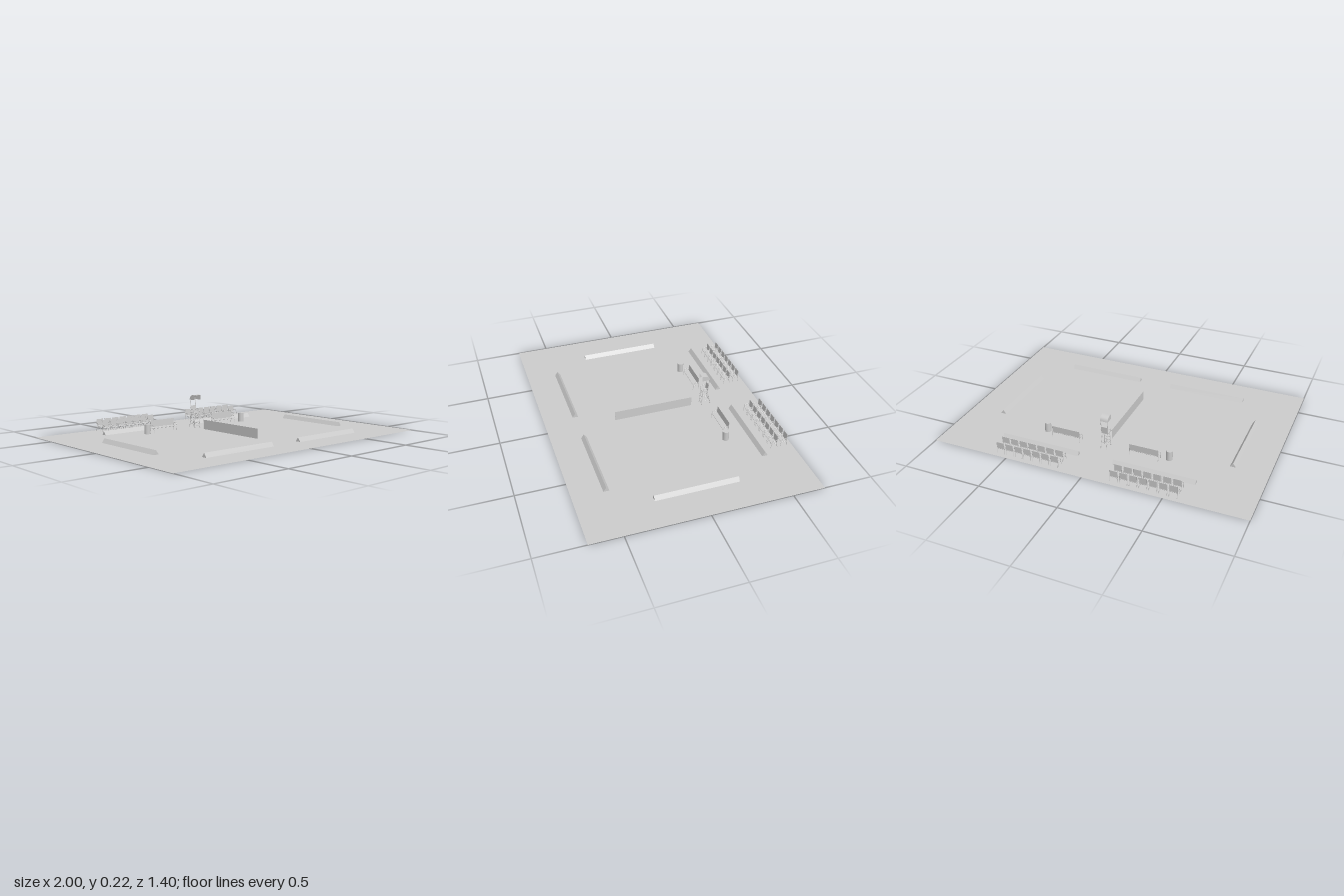
import * as THREE from 'three';

const mat = new THREE.MeshStandardMaterial({ color: 0xcccccc, flatShading: true });
const thin = new THREE.MeshStandardMaterial({ color: 0xcccccc, side: THREE.DoubleSide });
const UP = new THREE.Vector3(0, 1, 0);

function add(parent, name, geometry, x = 0, y = 0, z = 0, material = mat) {
  const mesh = new THREE.Mesh(geometry, material);
  mesh.name = name;
  mesh.position.set(x, y, z);
  parent.add(mesh);
  return mesh;
}

const box = (parent, name, w, h, d, x, y, z) =>
  add(parent, name, new THREE.BoxGeometry(w, h, d), x, y, z);

// Thin round bar between two points
function bar(parent, name, a, b, r = 0.0016) {
  const p = new THREE.Vector3(...a), q = new THREE.Vector3(...b);
  const mesh = add(parent, name, new THREE.CylinderGeometry(r, r, p.distanceTo(q), 6));
  mesh.position.copy(p).add(q).multiplyScalar(0.5);
  mesh.quaternion.setFromUnitVectors(UP, q.sub(p).normalize());
  return mesh;
}

// Armchair or bench: origin on the floor under its centre, facing +z
function makeSeat(name, width) {
  const g = new THREE.Group();
  g.name = name;
  const e = width / 2 - 0.002;
  box(g, 'seatPan', width - 0.006, 0.003, 0.036, 0, 0.031, 0.001);
  const back = box(g, 'backrest', width - 0.008, 0.043, 0.0025, 0, 0.056, -0.0185);
  back.rotation.x = -0.08;
  for (const s of [-1, 1]) {
    bar(g, 'frontLeg', [s * e, 0, 0.022], [s * e, 0.032, 0.018]);
    bar(g, 'rearLeg', [s * e, 0, -0.021], [s * e, 0.032, -0.015]);
    bar(g, 'backPost', [s * e, 0.031, -0.016], [s * e, 0.077, -0.02]);
    bar(g, 'armSupport', [s * e, 0.031, 0.019], [s * e, 0.048, 0.012]);
    bar(g, 'armrest', [s * e, 0.048, 0.013], [s * e, 0.049, -0.018], 0.002);
    bar(g, 'seatRail', [s * e, 0.031, 0.019], [s * e, 0.031, -0.017]);
  }
  bar(g, 'frontRail', [-e, 0.03, 0.018], [e, 0.03, 0.018]);
  bar(g, 'rearRail', [-e, 0.031, -0.016], [e, 0.031, -0.016]);
  return g;
}

// Long triangular floor barrier, running along z
function makeBarrier(length) {
  const shape = new THREE.Shape([
    new THREE.Vector2(-0.018, 0), new THREE.Vector2(0.018, 0), new THREE.Vector2(0, 0.026),
  ]);
  const geo = new THREE.ExtrudeGeometry(shape, { depth: length, bevelEnabled: false });
  geo.translate(0, 0, -length / 2);
  return geo;
}

// Tall referee chair with ladder and hood
function makeHighChair() {
  const g = new THREE.Group();
  g.name = 'highChair';
  box(g, 'seatPan', 0.044, 0.004, 0.038, 0, 0.103, -0.348);
  box(g, 'backrest', 0.042, 0.045, 0.0025, 0, 0.127, -0.369).rotation.x = -0.12;
  for (const s of [-1, 1]) {
    bar(g, 'frontLeg', [s * 0.022, 0, -0.325], [s * 0.017, 0.103, -0.334], 0.002);
    bar(g, 'rearLeg', [s * 0.018, 0, -0.388], [s * 0.017, 0.103, -0.363], 0.002);
    bar(g, 'hoodPost', [s * 0.021, 0.102, -0.365], [s * 0.021, 0.195, -0.375]);
    bar(g, 'armSupport', [s * 0.023, 0.103, -0.33], [s * 0.023, 0.126, -0.337]);
    bar(g, 'armrest', [s * 0.023, 0.126, -0.336], [s * 0.023, 0.127, -0.369], 0.002);
    for (const y of [0.03, 0.07]) {
      bar(g, 'sideBrace', [s * 0.019, y, -0.325 - y * 0.087], [s * 0.018, y, -0.388 + y * 0.243]);
    }
  }
  for (const y of [0.018, 0.04, 0.062, 0.084]) {
    const z = -0.325 - y * 0.087;
    box(g, 'ladderRung', 0.04, 0.003, 0.006, 0, y, z);
  }
  bar(g, 'rearBrace', [-0.018, 0.045, -0.377], [0.018, 0.045, -0.377]);

  // Hood open at the front and underneath
  const profile = [[-0.323, 0.222], [-0.342, 0.223], [-0.356, 0.22], [-0.367, 0.213], [-0.374, 0.203], [-0.376, 0.19]];
  const pos = [], index = [];
  profile.forEach(([z, y], i) => {
    pos.push(-0.025, y, z, 0.025, y, z);
    if (i) {
      const k = 2 * i - 2;
      index.push(k, k + 1, k + 2, k + 1, k + 3, k + 2);
    }
  });
  const sheet = new THREE.BufferGeometry();
  sheet.setAttribute('position', new THREE.Float32BufferAttribute(pos, 3));
  sheet.setIndex(index);
  sheet.computeVertexNormals();
  add(g, 'hoodTop', sheet, 0, 0, 0, thin);
  const side = new THREE.Shape([...profile, [-0.323, 0.19]].map(([z, y]) => new THREE.Vector2(-z, y)));
  for (const s of [-1, 1]) {
    add(g, 'hoodSide', new THREE.ShapeGeometry(side), s * 0.025, 0, 0, thin).rotation.y = Math.PI / 2;
  }
  return g;
}

export function createModel() {
  const model = new THREE.Group();
  model.name = 'tennisCourt';

  // Playing surface
  add(model, 'ground', new THREE.PlaneGeometry(2, 1.4), 0, 0, 0, thin).rotation.x = -Math.PI / 2;

  // Net across the middle
  add(model, 'net', new THREE.PlaneGeometry(0.52, 0.063), 0, 0.0315, 0, thin).rotation.y = Math.PI / 2;
  for (const s of [-1, 1]) bar(model, 'netPost', [0, 0, s * 0.26], [0, 0.063, s * 0.26], 0.001);

  for (const s of [-1, 1]) {
    // Barriers
    add(model, 'sideBarrier', makeBarrier(0.52), s * 0.778, 0, 0);
    for (const z of [-0.498, 0.495]) {
      add(model, 'endBarrier', makeBarrier(0.518), s * 0.371, 0, z).rotation.y = Math.PI / 2;
    }

    // Players' bench and bin
    const bench = makeSeat('bench', 0.19);
    bench.position.set(s * 0.259, 0, -0.359);
    model.add(bench);
    add(model, 'bin', new THREE.CylinderGeometry(0.02, 0.02, 0.062, 20), s * 0.407, 0.034, -0.334)
      .material = new THREE.MeshStandardMaterial({ color: 0xcccccc });

    // Two rows of spectator chairs
    for (const z of [-0.584, -0.648]) {
      for (let i = 0; i < 7; i++) {
        const chair = makeSeat('chair', 0.052);
        chair.position.set(s * (0.19 + i * 0.0603), 0, z);
        model.add(chair);
      }
    }
  }

  model.add(makeHighChair());
  return model;
}
